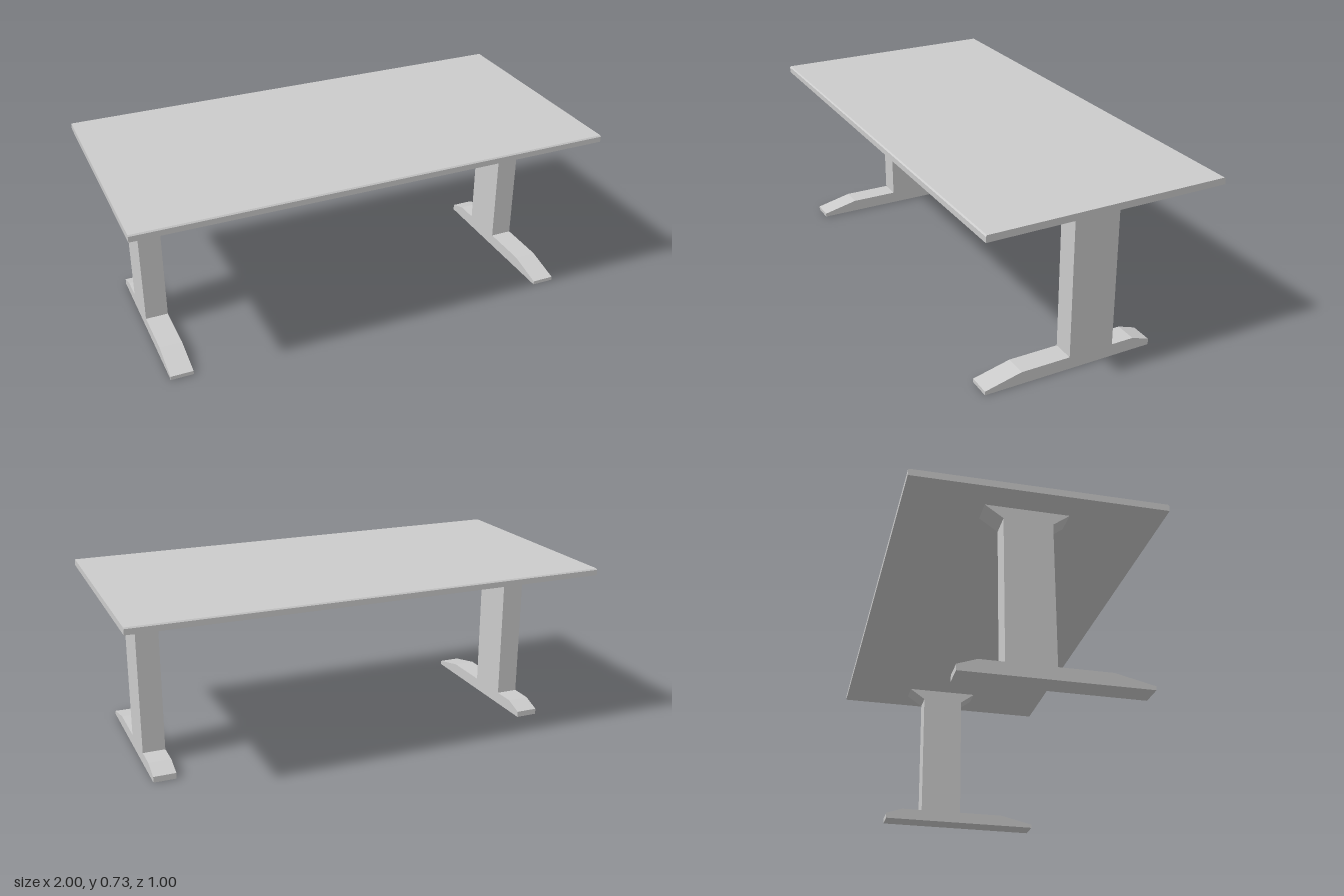
import * as THREE from 'three';

const material = new THREE.MeshStandardMaterial({ color: 0xcccccc });

// Side profile given as [z, y] points, extruded along x and centred on it
function profilePart(name, points, width) {
  const shape = new THREE.Shape(points.map(([z, y]) => new THREE.Vector2(z, y)));
  const geometry = new THREE.ExtrudeGeometry(shape, { depth: width, bevelEnabled: false });
  geometry.translate(0, 0, -width / 2);
  geometry.rotateY(-Math.PI / 2);
  const mesh = new THREE.Mesh(geometry, material);
  mesh.name = name;
  return mesh;
}

const LEG_WIDTH = 0.094;
const LEG_X = 0.838;
const FOOT_TOP = 0.052, POST_TOP = 0.65, TOP_BOTTOM = 0.7, TOP = 0.728;
const POST_FRONT = 0.075, POST_BACK = -0.118;

function createLeg(name) {
  const leg = new THREE.Group();
  leg.name = name;
  // Foot, longer towards the front, with tapered toes
  leg.add(profilePart('foot', [
    [-0.292, 0], [0.44, 0], [0.44, 0.016], [0.285, FOOT_TOP],
    [-0.215, FOOT_TOP], [-0.292, 0.025],
  ], LEG_WIDTH));
  // Upright post
  leg.add(profilePart('post', [
    [POST_BACK, FOOT_TOP], [POST_FRONT, FOOT_TOP],
    [POST_FRONT, POST_TOP], [POST_BACK, POST_TOP],
  ], LEG_WIDTH));
  // Flared bracket under the tabletop
  leg.add(profilePart('bracket', [
    [POST_BACK, POST_TOP], [POST_FRONT, POST_TOP],
    [0.142, TOP_BOTTOM], [-0.19, TOP_BOTTOM],
  ], LEG_WIDTH));
  return leg;
}

export function createModel() {
  const table = new THREE.Group();
  table.name = 'table';

  // Tabletop with softened long upper edges
  const c = 0.005;
  table.add(profilePart('tabletop', [
    [-0.5, TOP_BOTTOM], [0.5, TOP_BOTTOM], [0.5, TOP - c],
    [0.5 - c, TOP], [-0.5 + c, TOP], [-0.5, TOP - c],
  ], 2));

  // Pair of legs
  for (const side of [-1, 1]) {
    const leg = createLeg(side > 0 ? 'leftLeg' : 'rightLeg');
    leg.position.x = side * LEG_X;
    table.add(leg);
  }
  return table;
}
